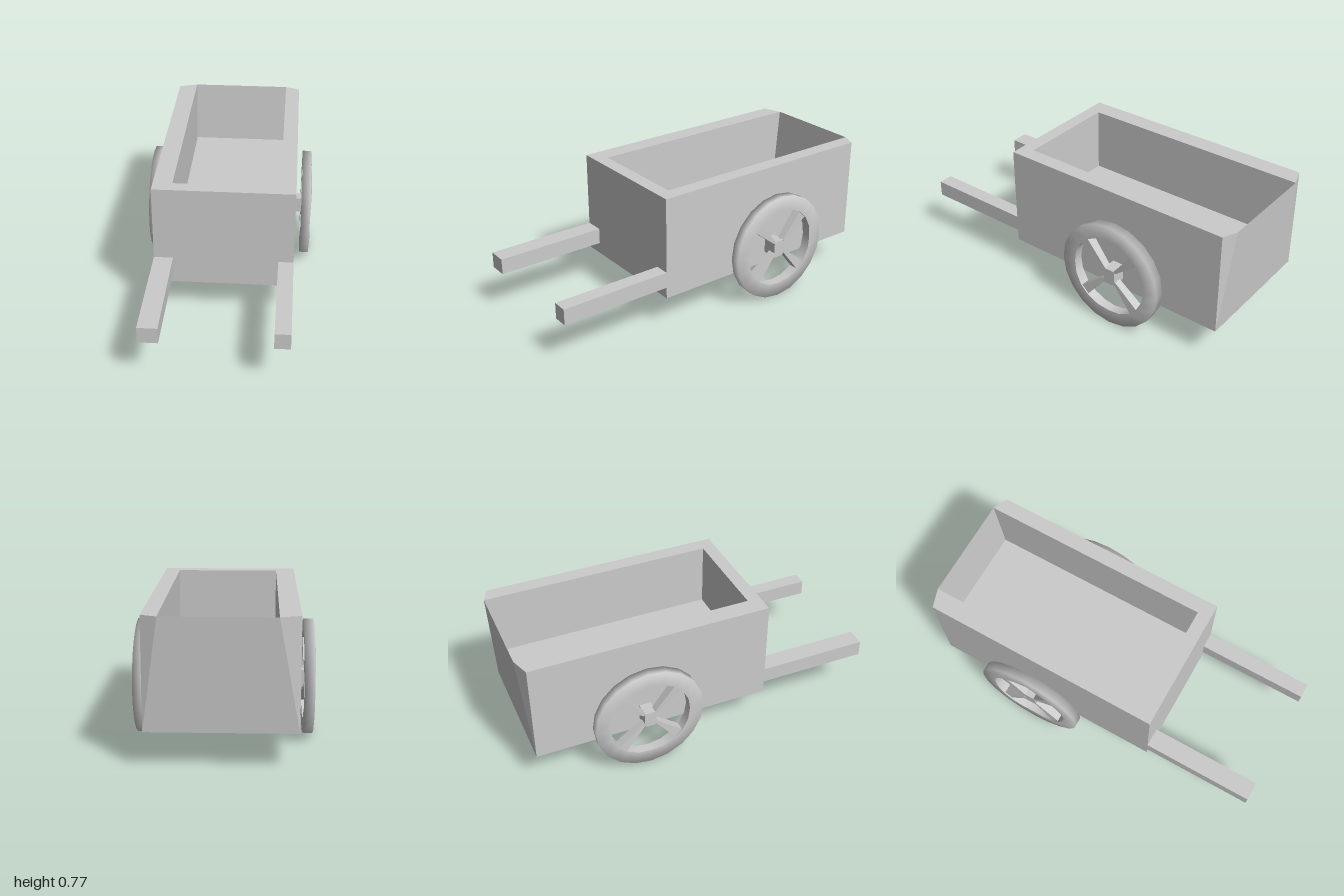
import * as THREE from 'three';

const material = new THREE.MeshStandardMaterial({ color: 0xcccccc, side: THREE.DoubleSide });

function addMesh(parent, name, geometry, x = 0, y = 0, z = 0) {
  const mesh = new THREE.Mesh(geometry, material);
  mesh.name = name;
  mesh.position.set(x, y, z);
  parent.add(mesh);
  return mesh;
}

// Flat polygons, each a counter-clockwise list of corners
function polygons(faces) {
  const positions = [];
  for (const f of faces) {
    for (let i = 1; i < f.length - 1; i++) positions.push(...f[0], ...f[i], ...f[i + 1]);
  }
  const g = new THREE.BufferGeometry();
  g.setAttribute('position', new THREE.Float32BufferAttribute(positions, 3));
  g.computeVertexNormals();
  return g;
}

// Open box: thick sides and front, tail pulled back to a thin edge at the top
function cartBody() {
  const W = 0.38, L = -0.275, R = 0.297;
  const bottom = 0.19, floor = 0.405, top = 0.768;
  const front = 0.375, inFront = 0.3, back = -0.965, inBack = -0.97, tail = -1;
  const b = [[-W, bottom, front], [W, bottom, front], [W, bottom, back], [-W, bottom, back]];
  const t = [[-W, top, front], [W, top, front], [W, top, back], [-W, top, back]];
  const i = [[L, top, inFront], [R, top, inFront], [R, top, tail], [L, top, tail]];
  const f = [[L, floor, inFront], [R, floor, inFront], [R, floor, inBack], [L, floor, inBack]];
  return polygons([
    [b[0], b[1], t[1], t[0]], // front
    [b[1], b[2], t[2], t[1]], // left side
    [b[3], b[0], t[0], t[3]], // right side
    [b[3], b[2], b[1], b[0]], // underside
    [b[2], b[3], i[3], i[2]], // tail board and its two corners
    [b[2], i[2], t[2]],
    [b[3], t[3], i[3]],
    [t[0], t[1], i[1], i[0]], // rim
    [t[1], t[2], i[2], i[1]],
    [t[3], t[0], i[0], i[3]],
    [f[0], f[1], f[2], f[3]], // floor
    [f[1], f[0], i[0], i[1]], // inner walls
    [f[2], f[1], i[1], i[2]],
    [f[3], f[2], i[2], i[3]],
    [f[0], f[3], i[3], i[0]],
  ]);
}

// Wheel around the y axis, outer face towards +y
function createWheel(name) {
  const wheel = new THREE.Group();
  wheel.name = name;
  const inner = 0.228, outer = 0.308, half = 0.026, sides = 20;
  const ring = (pts) => new THREE.LatheGeometry(pts.map(([r, y]) => new THREE.Vector2(r, y)), sides);

  // Rim, swelling slightly outward where the spokes meet it
  const rim = ring([[inner, -half], [outer, -half], [outer, half], [inner, half]]);
  const bore = ring([[inner, half], [inner, -half]]);
  for (const g of [rim, bore]) {
    const p = g.attributes.position;
    for (let k = 0; k < p.count; k++) {
      const x = p.getX(k), z = p.getZ(k);
      if (p.getY(k) > 0 && Math.hypot(x, z) < 0.25) {
        p.setY(k, half + 0.007 * Math.abs(Math.sin(2 * Math.atan2(z, x))));
      }
    }
  }
  addMesh(wheel, 'rim', rim);
  addMesh(wheel, 'rimBore', bore);

  // Four wedge spokes, narrow at the hub
  const start = 0.046, end = 0.235;
  const spoke = new THREE.BoxGeometry(end - start, 2 * half, 0.06);
  spoke.translate((start + end) / 2, 0, 0);
  const p = spoke.attributes.position;
  for (let k = 0; k < p.count; k++) {
    if (p.getX(k) < 0.1) p.setXYZ(k, start, p.getY(k) * 0.8, p.getZ(k) * 0.25);
  }
  spoke.computeVertexNormals();
  for (let k = 0; k < 4; k++) {
    addMesh(wheel, 'spoke', spoke).rotation.y = Math.PI / 4 + k * Math.PI / 2;
  }
  return wheel;
}

export function createModel() {
  const cart = new THREE.Group();
  cart.name = 'handcart';
  addMesh(cart, 'body', cartBody());

  // Pull handles
  addMesh(cart, 'leftHandle', new THREE.BoxGeometry(0.083, 0.09, 0.63), 0.3385, 0.3, 0.685);
  addMesh(cart, 'rightHandle', new THREE.BoxGeometry(0.105, 0.09, 0.63), -0.3275, 0.3, 0.685);

  // Square axle, its ends forming the hubs
  addMesh(cart, 'axle', new THREE.BoxGeometry(0.924, 0.09, 0.066), 0, 0.3, -0.348);

  for (const s of [1, -1]) {
    const wheel = createWheel(s > 0 ? 'leftWheel' : 'rightWheel');
    wheel.rotation.z = -s * Math.PI / 2;
    wheel.position.set(s * 0.441, 0.308, -0.35);
    cart.add(wheel);
  }
  return cart;
}
